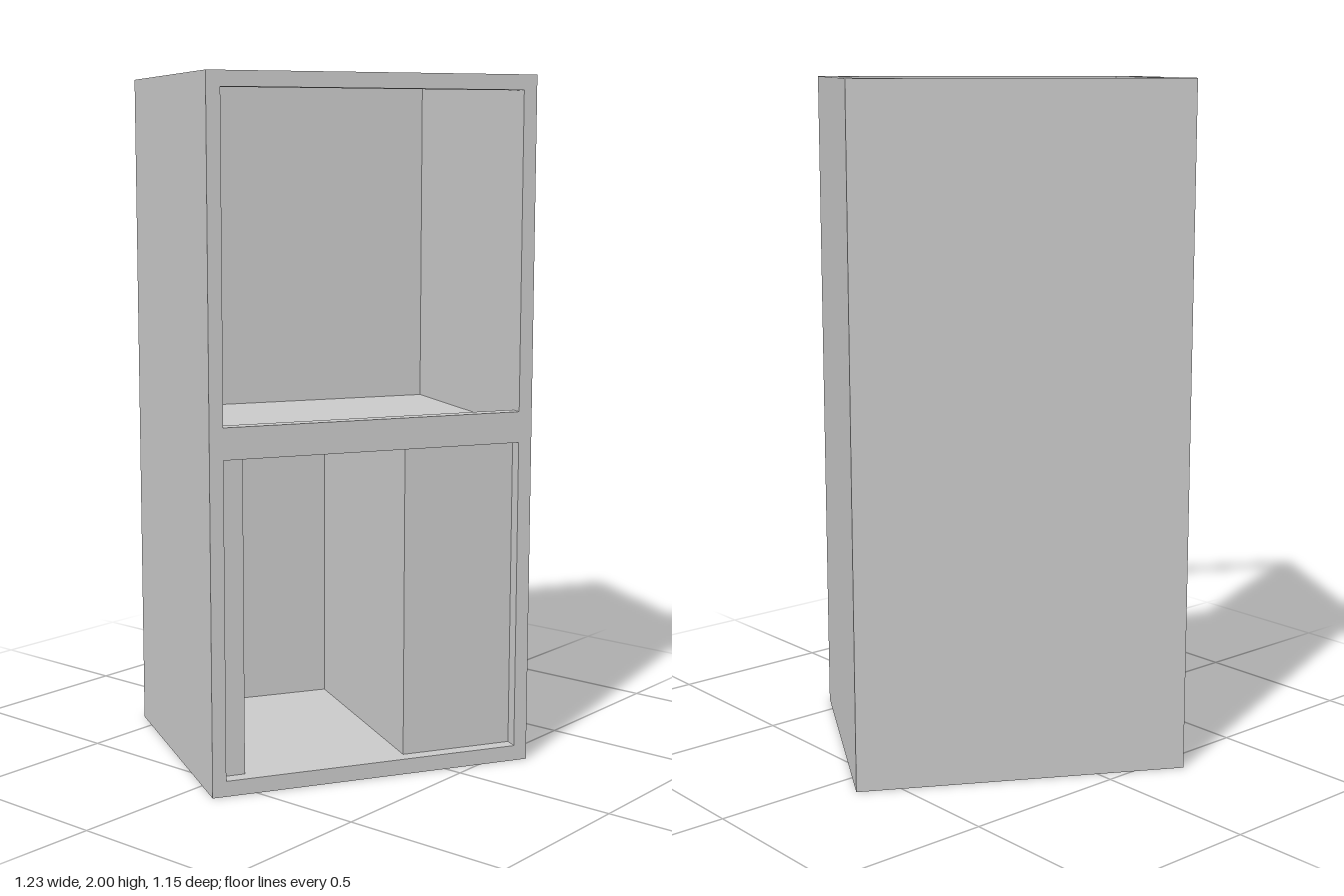
import * as THREE from 'three';

const W = 0.968, D = 0.774, H = 2, T = 0.04;

export function createModel() {
  const model = new THREE.Group();
  const cabinet = new THREE.Group();
  cabinet.name = 'cabinet';
  cabinet.rotation.y = -Math.PI / 6; // the cabinet stands turned by 30 degrees
  model.add(cabinet);

  const material = new THREE.MeshStandardMaterial({ color: 0xcccccc });

  // Box given by its lower and upper limits on each axis
  function box(name, [x0, x1], [y0, y1], [z0, z1]) {
    const mesh = new THREE.Mesh(new THREE.BoxGeometry(x1 - x0, y1 - y0, z1 - z0), material);
    mesh.position.set((x0 + x1) / 2, (y0 + y1) / 2, (z0 + z1) / 2);
    mesh.name = name;
    cabinet.add(mesh);
  }

  const xo = W / 2, xi = xo - T; // outer and inner half width
  const zo = D / 2, zi = zo - T; // outer and inner half depth

  // Outer walls, open at the top
  box('rightWall', [-xo, -xi], [0, H], [-zo, zo]);
  box('leftWall', [xi, xo], [0, H], [-zo, zo]);
  box('backWall', [-xi, xi], [0, H], [-zo, -zi]);

  // Front rails around the two openings
  for (const [name, y0, y1] of [['bottomRail', 0, 0.045], ['middleRail', 0.955, 1.045], ['topRail', 1.957, H]]) {
    box(name, [-xi, xi], [y0, y1], [zi, zo]);
  }

  // Base and the shelf between the compartments
  box('base', [-xi, xi], [0, 0.045], [-zi, zi]);
  box('shelf', [-xi, xi], [0.955, 1.0], [-zi, zi]);

  // Lining that narrows the lower compartment
  const lower = [0.045, 0.955], c0 = -0.377, c1 = 0.106;
  box('rightLining', [-xi, c0], lower, [-zi, zi]);
  box('leftLining', [c1, xi], lower, [-zi, zi]);
  box('backLining', [c0, c1], lower, [-zi, -0.331]);

  return model;
}
